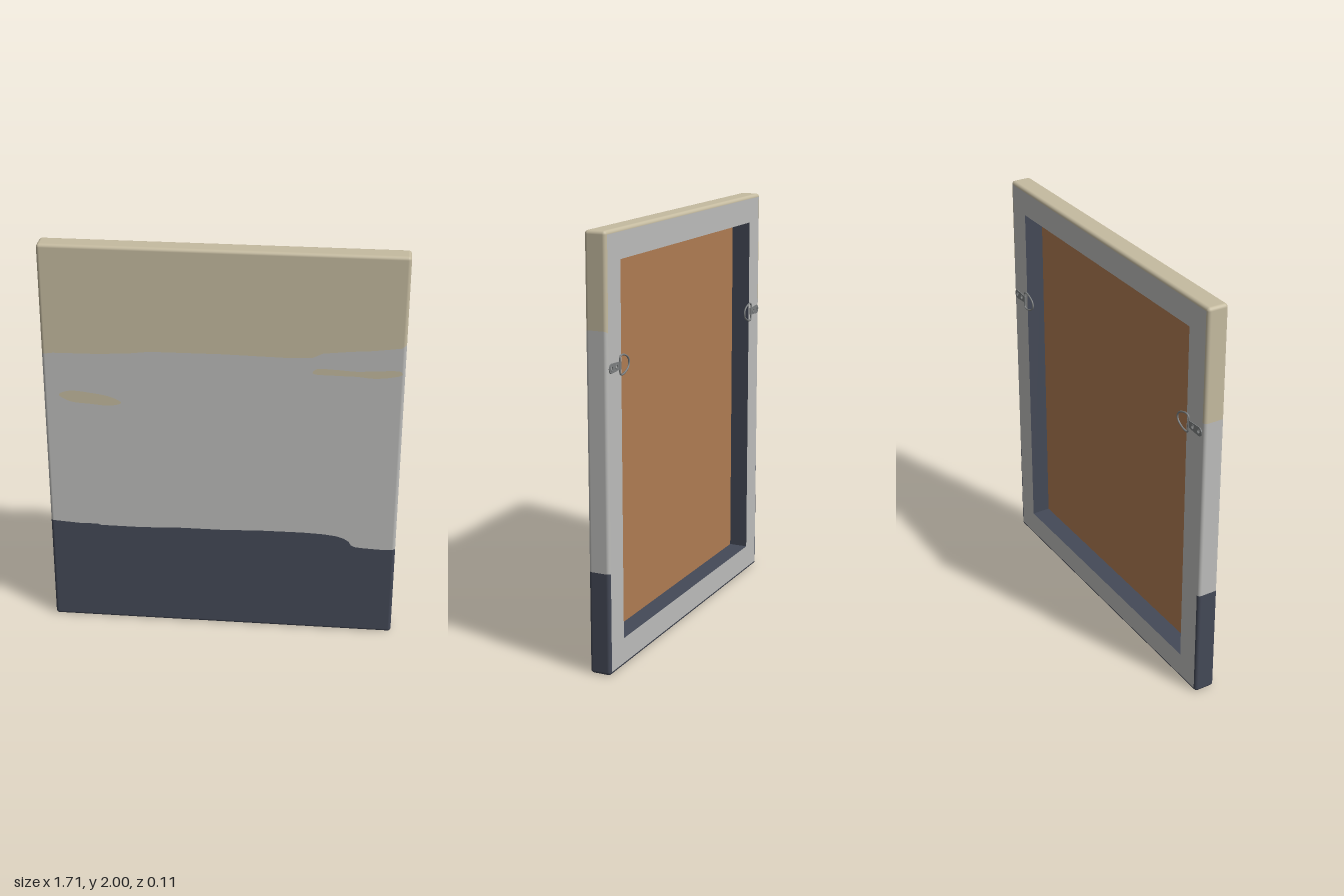
import * as THREE from 'three';

const W = 0.853, H = 2, ZF = 0.056, ZB = -0.047, R = 0.016; // outer size and edge radius
const CX = W - R;
const OPEN = 0.135; // width of the stretcher bars

const mat = (name, color) => {
  const m = new THREE.MeshStandardMaterial({ color });
  m.name = name;
  return m;
};

// Edges between the painted bands, as [x, y]
const lowEdge = [[-0.853, 0.553], [-0.7, 0.543], [-0.62, 0.545], [-0.6, 0.538], [-0.4, 0.537], [-0.2, 0.545],
  [0, 0.545], [0.2, 0.552], [0.4, 0.553], [0.5, 0.549], [0.56, 0.542], [0.6, 0.53], [0.625, 0.513],
  [0.635, 0.495], [0.655, 0.485], [0.7, 0.481], [0.8, 0.477], [0.853, 0.482]];
const highEdge = [[-0.853, 1.455], [-0.8, 1.463], [-0.6, 1.466], [-0.45, 1.474], [-0.34, 1.488], [0, 1.491],
  [0.3, 1.486], [0.42, 1.49], [0.47, 1.515], [0.6, 1.53], [0.7, 1.538], [0.83, 1.556], [0.853, 1.572]];

function edgeAt(points, x) {
  for (let i = 1; i < points.length; i++) {
    const [x0, y0] = points[i - 1], [x1, y1] = points[i];
    if (x <= x1) return y0 + (y1 - y0) * Math.max(0, (x - x0) / (x1 - x0));
  }
  return points[points.length - 1][1];
}

// Horizontal section: back left corner, round the front, to the back right corner
function sectionPath() {
  const path = [];
  const corner = (cx, cz, a0, a1) => {
    for (let i = 0; i <= 5; i++) {
      const a = a0 + (a1 - a0) * i / 5;
      path.push({ cx, cz, nx: Math.cos(a), nz: Math.sin(a) });
    }
  };
  const P = Math.PI;
  corner(-CX, ZB + R, 1.5 * P, P);
  corner(-CX, ZF - R, P, P / 2);
  const xs = [...lowEdge, ...highEdge].map(p => p[0]).filter(x => Math.abs(x) < CX - 0.002);
  [...new Set(xs)].sort((a, b) => a - b).forEach(cx => path.push({ cx, cz: ZF - R, nx: 0, nz: 1 }));
  corner(CX, ZF - R, P / 2, 0);
  corner(CX, ZB + R, 0, -P / 2);
  return path;
}

// Skin through rows; each row gives y, outward share s and upward normal ny
function skin(path, rows, closed) {
  const pos = [], nor = [], idx = [], n = path.length;
  rows.forEach(row => path.forEach(p => {
    const x = p.cx + p.nx * R * row.s;
    pos.push(x, row.y(x), p.cz + p.nz * R * row.s);
    nor.push(p.nx * row.s, row.ny, p.nz * row.s);
  }));
  for (let j = 0; j < rows.length - 1; j++) {
    for (let i = 0; i < (closed ? n : n - 1); i++) {
      const a = j * n + i, b = j * n + (i + 1) % n;
      idx.push(a, b, b + n, a, b + n, a + n);
    }
  }
  const g = new THREE.BufferGeometry();
  g.setAttribute('position', new THREE.Float32BufferAttribute(pos, 3));
  g.setAttribute('normal', new THREE.Float32BufferAttribute(nor, 3));
  g.setIndex(idx);
  return g;
}

function rectPath(target, hw, y0, y1) {
  target.moveTo(-hw, y0);
  target.lineTo(hw, y0);
  target.lineTo(hw, y1);
  target.lineTo(-hw, y1);
  target.closePath();
  return target;
}

export function createModel() {
  const root = new THREE.Group();
  root.name = 'paintedCanvas';
  const sand = mat('sand', 0xc5bba0);
  const grey = mat('pale grey', 0xbdbdbb);
  const navy = mat('slate navy', 0x444957);
  const brown = mat('board brown', 0xb07c52);
  const metal = mat('hanger metal', 0x7c7f80);
  const add = (parent, name, geometry, material) => {
    const m = new THREE.Mesh(geometry, material);
    m.name = name;
    parent.add(m);
    return m;
  };

  // Three painted bands wrapped over the front and sides
  const path = sectionPath();
  const level = y => ({ y: () => y, s: 1, ny: 0 });
  const along = pts => ({ y: x => edgeAt(pts, x), s: 1, ny: 0 });
  add(root, 'lowerBand', skin(path, [level(R), along(lowEdge)], false), navy);
  add(root, 'middleBand', skin(path, [along(lowEdge), along(highEdge)], false), grey);
  add(root, 'upperBand', skin(path, [along(highEdge), level(H - R)], false), sand);

  // Rounded top and bottom rims with flat caps
  for (const [name, up, material] of [['top', 1, sand], ['bottom', -1, navy]]) {
    const rows = [];
    for (let i = 0; i <= 5; i++) {
      const a = Math.PI / 2 * i / 5;
      const y = up > 0 ? H - R + R * Math.sin(a) : R - R * Math.sin(a);
      rows.push({ y: () => y, s: Math.cos(a), ny: up * Math.sin(a) });
    }
    if (up < 0) rows.reverse();
    add(root, name + 'Rim', skin(path, rows, true), material);
    const cap = add(root, name + 'Cap', new THREE.PlaneGeometry(2 * CX, ZF - ZB - 2 * R), material);
    cap.rotation.x = -up * Math.PI / 2;
    cap.position.set(0, up > 0 ? H : 0, (ZF + ZB) / 2);
  }

  // Loose brush marks on the front
  const mark = (name, x, y, pts) => {
    const shape = new THREE.Shape();
    const curve = new THREE.CatmullRomCurve3(pts.map(p => new THREE.Vector3(p[0], p[1], 0)), true);
    shape.setFromPoints(curve.getPoints(48).map(p => new THREE.Vector2(p.x, p.y)));
    add(root, name, new THREE.ShapeGeometry(shape), sand).position.set(x, y, ZF + 0.001);
  };
  mark('leftBrushMark', -0.63, 1.235, [[-0.15, 0.012], [-0.1, -0.02], [0, -0.03], [0.1, -0.035],
    [0.15, -0.018], [0.1, 0.01], [0, 0.028], [-0.1, 0.034]]);
  mark('rightBrushMark', 0.63, 1.418, [[-0.205, -0.005], [-0.1, -0.012], [0, -0.013], [0.08, -0.019],
    [0.16, -0.01], [0.21, 0.006], [0.205, 0.02], [0.1, 0.02], [0, 0.013], [-0.1, 0.018], [-0.19, 0.016]]);

  // Stretcher frame: pale back face, dark inner walls
  const frame = rectPath(new THREE.Shape(), CX, R, H - R);
  frame.holes.push(rectPath(new THREE.Path(), W - OPEN, OPEN, H - OPEN));
  const frameDepth = ZF - ZB - 0.004;
  add(root, 'stretcherFrame', new THREE.ExtrudeGeometry(frame, { depth: frameDepth, bevelEnabled: false }),
    [grey, navy]).position.z = ZB;

  // Backing board at the bottom of the recess
  add(root, 'backingBoard', new THREE.BoxGeometry(2 * (W - OPEN), H - 2 * OPEN, 0.004), brown)
    .position.set(0, H / 2, ZF - 0.008);

  // Hanging hardware: strap with screws and a D ring, mirrored
  for (const side of [-1, 1]) {
    const hanger = new THREE.Group();
    hanger.name = side > 0 ? 'leftHanger' : 'rightHanger';
    hanger.position.set(side * 0.745, 1.405, ZB);
    if (side > 0) hanger.rotation.z = Math.PI;
    root.add(hanger);

    // Local -x points to the outer edge
    const strap = new THREE.Shape();
    strap.absarc(-0.07, 0, 0.022, Math.PI / 2, Math.PI * 1.5);
    strap.lineTo(0.012, -0.017);
    strap.lineTo(0.012, 0.017);
    strap.closePath();
    for (const x of [-0.07, -0.025]) {
      strap.holes.push(new THREE.Path().absarc(x, 0, 0.009, 0, Math.PI * 2));
      add(hanger, 'eyelet', new THREE.TorusGeometry(0.01, 0.0025, 6, 20), metal).position.set(x, 0, -0.004);
    }
    add(hanger, 'strap', new THREE.ExtrudeGeometry(strap, { depth: 0.004, bevelEnabled: false }), metal)
      .position.z = -0.0045;
    const loop = add(hanger, 'strapLoop', new THREE.CylinderGeometry(0.006, 0.006, 0.034, 12), metal);
    loop.position.set(0.008, 0, -0.003);

    const ring = new THREE.CatmullRomCurve3([[0.008, -0.036], [0.008, 0], [0.008, 0.036], [0.022, 0.044],
      [0.055, 0.038], [0.085, 0.02], [0.093, 0], [0.085, -0.02], [0.055, -0.038], [0.022, -0.044]]
      .map(p => new THREE.Vector3(p[0], p[1], -0.0045)), true);
    add(hanger, 'ring', new THREE.TubeGeometry(ring, 60, 0.0042, 8, true), metal);
  }
  return root;
}
